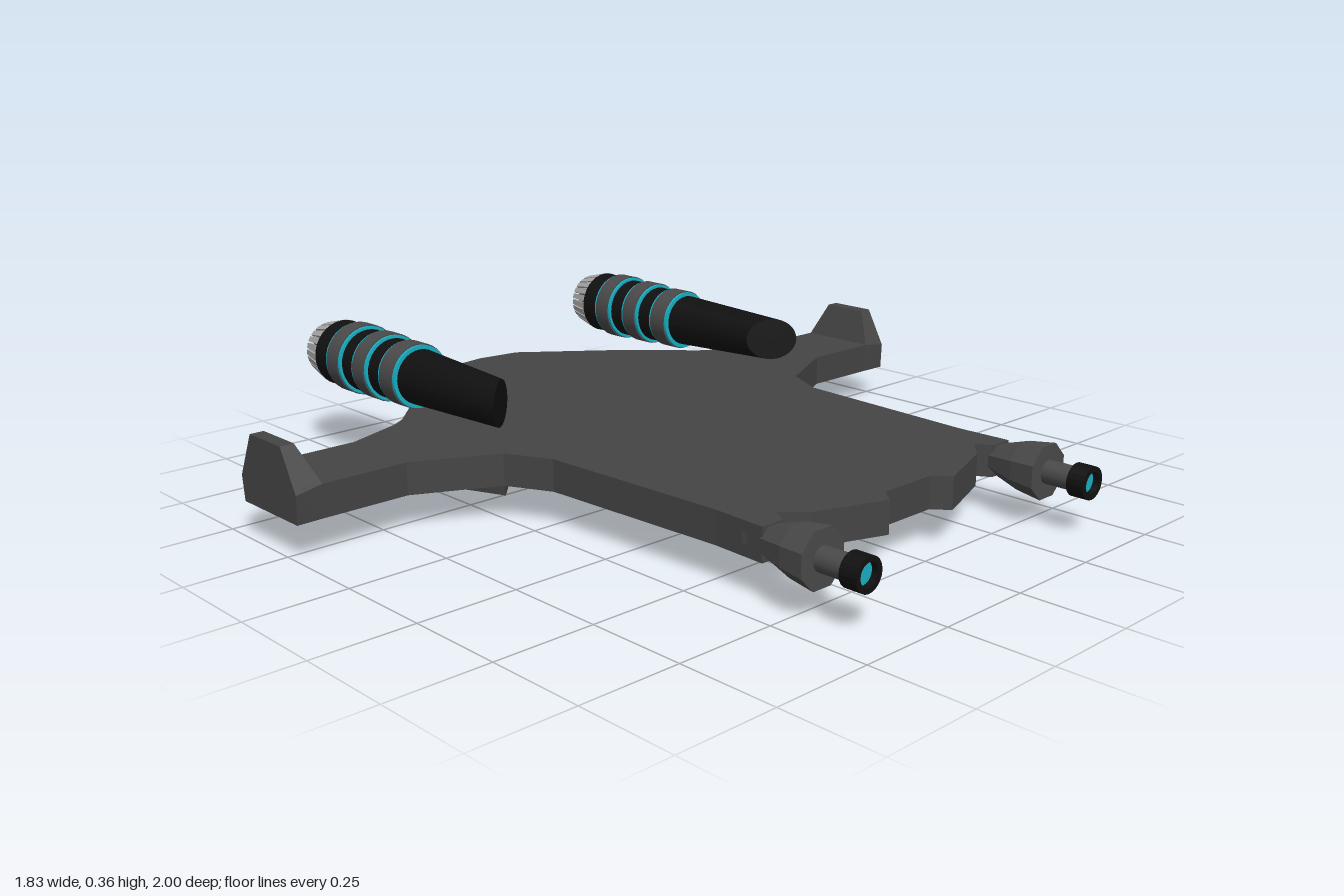
import * as THREE from 'three';
import { ConvexGeometry } from 'three/addons/geometries/ConvexGeometry.js';

const mat = (color, extra = {}) => new THREE.MeshStandardMaterial({ color, ...extra });
const hullMat = mat(0x444444, { flatShading: true });
const gunMat = mat(0x4a4a4a, { flatShading: true });
const ringMat = mat(0x4a4a4a);
const blackMat = mat(0x101010, { side: THREE.DoubleSide });
const cyanMat = mat(0x18b0c4);
const metalMat = mat(0xaaaaaa, { flatShading: true });

function add(parent, name, geometry, material) {
  const mesh = new THREE.Mesh(geometry, material);
  mesh.name = name;
  parent.add(mesh);
  return mesh;
}

// Cylinder lying along x from xa (radius ra) to xb (radius rb)
function barrel(xa, xb, ra, rb, sides = 32) {
  const g = new THREE.CylinderGeometry(rb, ra, xb - xa, sides);
  g.rotateZ(-Math.PI / 2);
  g.translate((xa + xb) / 2, 0, 0);
  return g;
}

const hull = (points) =>
  new ConvexGeometry(points.map((p) => new THREE.Vector3(...p)));

// Flat deck with its wings, mirrored about z = 0
function deck() {
  const half = [
    [-0.87, 0], [-0.855, 0.118], [-0.65, 0.375], [-0.5, 0.52], [-0.475, 0.56],
    [-0.42, 0.71], [-0.42, 0.985], [-0.2, 0.985], [-0.2, 0.71], [-0.1, 0.508],
    [0.015, 0.452], [0.52, 0.425], [0.66, 0.43], [0.66, 0.37], [0.62, 0.345],
    [0.67, 0.29], [0.735, 0.113], [0.695, 0.08],
  ];
  const other = half.slice(1).reverse().map(([x, z]) => [x, -z]);
  const shape = new THREE.Shape([...half, ...other].map((p) => new THREE.Vector2(...p)));
  const g = new THREE.ExtrudeGeometry(shape, { depth: 0.08, bevelEnabled: false });
  g.rotateX(Math.PI / 2);
  g.translate(0, 0.17, 0);
  return g;
}

// Upturned fin at a wing tip
function wingFin(s) {
  return hull([
    [-0.42, 0.17, 0.93 * s], [-0.2, 0.17, 0.93 * s],
    [-0.42, 0.09, 0.93 * s], [-0.2, 0.09, 0.93 * s],
    [-0.38, 0.26, 0.965 * s], [-0.25, 0.26, 0.965 * s],
    [-0.38, 0.26, s], [-0.25, 0.26, s],
    [-0.432, 0.152, s], [-0.195, 0.16, s],
    [-0.425, 0.09, s], [-0.198, 0.09, s],
  ]);
}

// Wedge hanging below the deck
function keel(s) {
  return hull([
    [-0.1, 0.1, 0.505 * s], [-0.28, 0.1, 0.325 * s],
    [-0.67, 0.1, 0.33 * s], [-0.475, 0.1, 0.565 * s],
    [-0.1, 0.065, 0.505 * s], [-0.28, 0.045, 0.345 * s],
    [-0.67, 0.002, 0.36 * s], [-0.475, 0.027, 0.56 * s],
  ]);
}

function engine(s) {
  const group = new THREE.Group();
  group.name = 'engine';
  group.position.set(0, 0.272, 0.462 * s);

  // Tapering front tube with an oblique cut, longer on the outer side
  const tube = barrel(-0.52, -0.157, 0.072, 0.057);
  const p = tube.attributes.position;
  for (let i = 0; i < p.count; i++) {
    if (p.getX(i) > -0.3) {
      p.setX(i, p.getX(i) + 0.77 * p.getZ(i) * s);
      p.setZ(i, p.getZ(i) * 0.94 + 0.006 * s);
    }
  }
  tube.computeVertexNormals();
  add(group, 'frontTube', tube, blackMat);
  add(group, 'rearTube', barrel(-0.85, -0.52, 0.087, 0.075), blackMat);

  // Grey collars, each edged with glowing bands
  for (const [a, b, r] of [[-0.785, -0.735, 0.093], [-0.67, -0.62, 0.089], [-0.555, -0.5, 0.084]]) {
    add(group, 'collar', barrel(a, b, r, r), ringMat);
    add(group, 'glowBand', barrel(a - 0.008, b + 0.008, r - 0.003, r - 0.003), cyanMat);
  }

  // Exhaust nozzle: dark core under overlapping ribbed petals
  add(group, 'nozzleCore', barrel(-0.895, -0.85, 0.068, 0.084), ringMat);
  const count = 24;
  for (let i = 0; i < count; i++) {
    const petal = new THREE.BoxGeometry(0.07, 0.008, 0.019);
    const q = petal.attributes.position;
    for (let k = 0; k < q.count; k++) {
      if (q.getX(k) < 0) q.setZ(k, q.getZ(k) * 0.72);
    }
    petal.rotateZ(0.24);
    petal.translate(-0.884, 0.075, 0);
    petal.rotateX((i / count) * Math.PI * 2);
    add(group, 'nozzlePetal', petal, metalMat);
  }
  return group;
}

function gun(s) {
  const group = new THREE.Group();
  group.name = 'gun';
  group.position.set(0, 0.13, 0.397 * s);

  // Flared eight-sided housing with flats on top and sides
  const flat = Math.PI / 8;
  add(group, 'housingNeck', barrel(0.6, 0.655, 0.034, 0.034, 8).rotateX(flat), gunMat);
  add(group, 'housingFlare', barrel(0.65, 0.727, 0.036, 0.06, 8).rotateX(flat), gunMat);
  add(group, 'housing', barrel(0.727, 0.795, 0.06, 0.07, 8).rotateX(flat), gunMat);
  add(group, 'gunBarrel', barrel(0.78, 0.88, 0.029, 0.029, 20), ringMat);

  // Hollow muzzle with a glowing bore
  const profile = [[0, 0.87], [0.04, 0.87], [0.04, 0.915], [0.027, 0.915], [0.027, 0.89]];
  const muzzle = new THREE.LatheGeometry(profile.map((v) => new THREE.Vector2(...v)), 20);
  muzzle.rotateZ(-Math.PI / 2);
  const muzzleMat = blackMat.clone();
  muzzleMat.flatShading = true;
  add(group, 'muzzle', muzzle, muzzleMat);
  add(group, 'boreGlow', barrel(0.88, 0.9, 0.026, 0.026, 20), cyanMat);
  return group;
}

export function createModel() {
  const model = new THREE.Group();
  model.name = 'hoverCraft';
  add(model, 'deck', deck(), hullMat);
  for (const s of [1, -1]) {
    add(model, 'wingFin', wingFin(s), hullMat);
    add(model, 'keelWedge', keel(s), hullMat);
    model.add(engine(s), gun(s));
  }
  return model;
}
